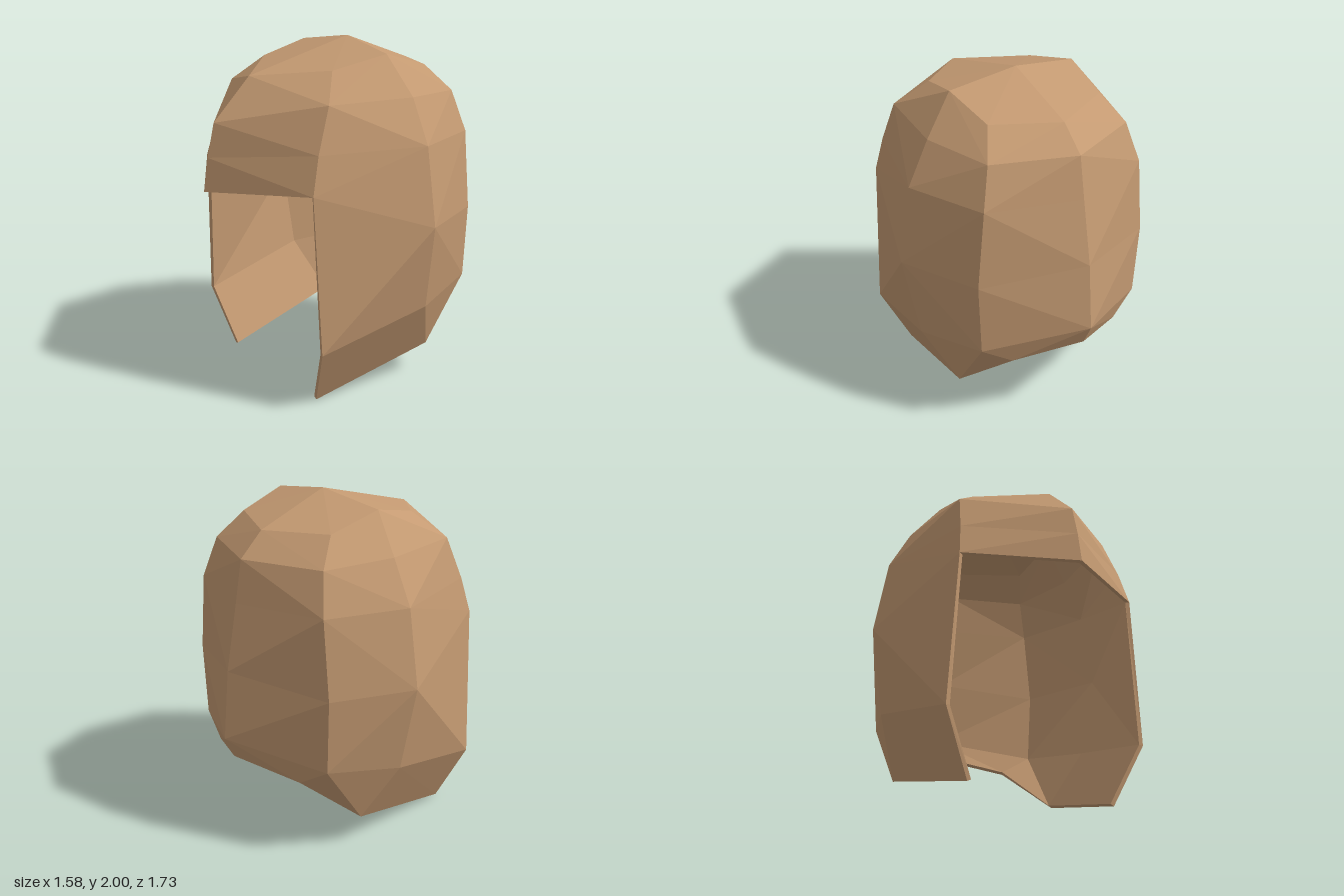
import * as THREE from 'three';

// Half of the shell: columns from brow to nape, each listed from crown ring to rim
const FRONT = [[0, 1.825, 0.56], [0, 1.59, 0.79], [0, 1.4, 0.835], [0, 1.21, 0.865]];
const TEMPLE = [[0.35, 1.87, 0.245], [0.51, 1.72, 0.38], [0.55, 1.47, 0.475],
  [0.58, 1.26, 0.53], [0.63, 0.36, 0.51], [0.46, 0, 0.435]];
const SIDE = [[0.41, 1.94, -0.08], [0.585, 1.72, -0.13], [0.715, 1.47, -0.135],
  [0.79, 1.02, -0.14], [0.7, 0.515, -0.165], [0.54, 0.185, -0.315]];
const REAR = [[0.37, 1.85, -0.39], [0.46, 1.7, -0.525], [0.525, 1.465, -0.585],
  [0.57, 1.01, -0.59], [0.55, 0.575, -0.585], [0.37, 0.46, -0.63]];
const NAPE = [[0, 1.835, -0.56], [0, 1.7, -0.705], [0, 1.46, -0.75],
  [0, 1.08, -0.825], [0, 0.68, -0.865], [0, 0.55, -0.805]];
const THICKNESS = 0.025;

const mirror = (column) => column.map(([x, y, z]) => [-x, y, z]);

function facetedMesh(name, points, triangles, material) {
  const geometry = new THREE.BufferGeometry();
  geometry.setFromPoints(triangles.flat().map((i) => points[i]));
  geometry.computeVertexNormals();
  const mesh = new THREE.Mesh(geometry, material);
  mesh.name = name;
  return mesh;
}

export function createModel() {
  const group = new THREE.Group();
  group.name = 'helmet';
  const material = new THREE.MeshStandardMaterial({ color: 0xc49a72, flatShading: true });

  const columns = [FRONT, TEMPLE, SIDE, REAR, NAPE, mirror(REAR), mirror(SIDE), mirror(TEMPLE)];
  const outer = [new THREE.Vector3(0, 2, -0.11)];
  const ids = columns.map((column) => column.map((p) => outer.push(new THREE.Vector3(...p)) - 1));

  // Split each four-sided facet along the diagonal that keeps the shell convex
  const triangles = [];
  const quad = (a, b, c, d) => {
    const ab = outer[b].clone().sub(outer[a]);
    const ac = outer[c].clone().sub(outer[a]);
    const ad = outer[d].clone().sub(outer[a]);
    if (ab.cross(ac).dot(ad) <= 0) triangles.push([a, b, c], [a, c, d]);
    else triangles.push([a, b, d], [b, c, d]);
  };

  // Crown: four facets around the top point
  for (let j = 0; j < 8; j += 2) {
    quad(0, ids[j][0], ids[j + 1][0], ids[(j + 2) % 8][0]);
  }
  // Walls: the short front column leaves the face open
  for (let j = 0; j < 8; j++) {
    const left = ids[j], right = ids[(j + 1) % 8];
    const rows = Math.min(left.length, right.length) - 1;
    for (let i = 0; i < rows; i++) quad(left[i], left[i + 1], right[i + 1], right[i]);
  }

  // Lining: the same facets moved inward along the averaged normals
  const normals = outer.map(() => new THREE.Vector3());
  for (const [a, b, c] of triangles) {
    const n = outer[b].clone().sub(outer[a]).cross(outer[c].clone().sub(outer[a]));
    for (const i of [a, b, c]) normals[i].add(n);
  }
  const inner = outer.map((p, i) => p.clone().addScaledVector(normals[i].normalize(), -THICKNESS));

  // Rim: joins shell and lining along every open edge
  const edges = new Set();
  for (const t of triangles) t.forEach((a, k) => edges.add(`${a},${t[(k + 1) % 3]}`));
  const rim = [];
  for (const edge of edges) {
    const [a, b] = edge.split(',').map(Number);
    if (edges.has(`${b},${a}`)) continue;
    const n = outer.length;
    rim.push([b, a, a + n], [b, a + n, b + n]);
  }

  group.add(
    facetedMesh('outerShell', outer, triangles, material),
    facetedMesh('innerLining', inner, triangles.map(([a, b, c]) => [a, c, b]), material),
    facetedMesh('rim', [...outer, ...inner], rim, material),
  );
  return group;
}
